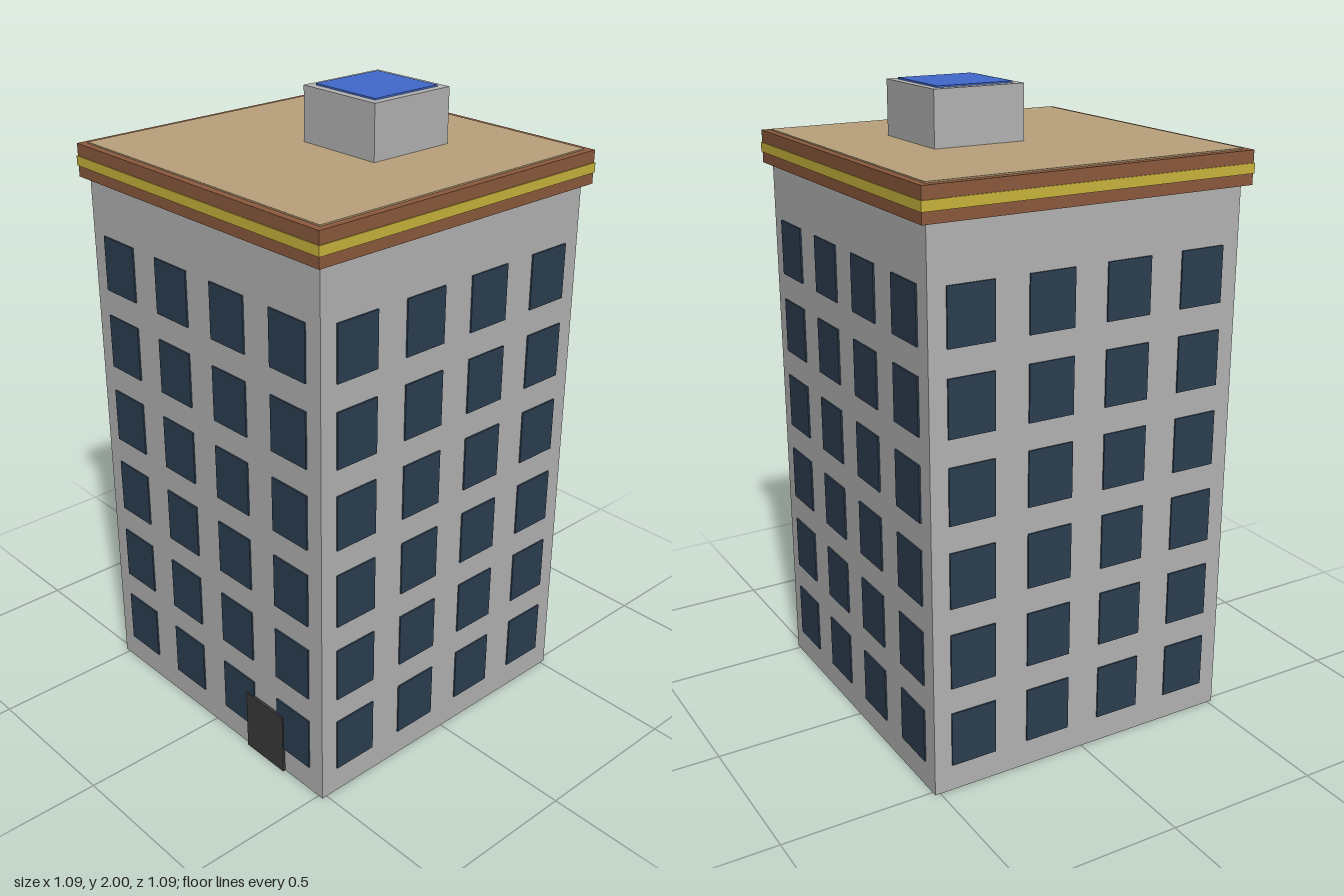
import * as THREE from 'three';

const mat = (name, color) => {
  const m = new THREE.MeshStandardMaterial({ color });
  m.name = name;
  return m;
};

export function createModel() {
  const wall = mat('wallGrey', 0xb3b3b3);
  const glass = mat('windowBlue', 0x2c3e50);
  const brown = mat('corniceBrown', 0x8b5a3c);
  const yellow = mat('stripeYellow', 0xc8b43c);
  const tan = mat('roofTan', 0xb8a07a);
  const blue = mat('skylightBlue', 0x4169cd);
  const dark = mat('doorGrey', 0x3a3a3a);

  const model = new THREE.Group();
  model.name = 'apartmentTower';

  // Box given by its size, its centre in x and z, and its bottom height
  const box = (parent, name, material, w, h, d, x, bottom, z) => {
    const mesh = new THREE.Mesh(new THREE.BoxGeometry(w, h, d), material);
    mesh.name = name;
    mesh.position.set(x, bottom + h / 2, z);
    parent.add(mesh);
    return mesh;
  };

  // Main block
  const half = 0.517;
  box(model, 'walls', wall, half * 2, 1.73, half * 2, 0, 0, 0);

  // Four facades, each a 4 x 6 grid of thin window plates
  for (let side = 0; side < 4; side++) {
    const facade = new THREE.Group();
    facade.name = 'facadeWindows';
    facade.rotation.y = (side * Math.PI) / 2;
    for (let row = 0; row < 6; row++) {
      for (let col = 0; col < 4; col++) {
        box(facade, 'window', glass, 0.148, 0.174, 0.008,
          (col - 1.5) * 0.2575, 0.086 + row * 0.2575, half + 0.001);
      }
    }
    model.add(facade);
  }

  // Entrance on the front
  box(model, 'door', dark, 0.173, 0.206, 0.009, 0.257, 0, half + 0.0045);

  // Cornice with stripe, and the roof surface
  box(model, 'cornice', brown, 1.08, 0.102, 1.08, 0, 1.72, 0);
  box(model, 'corniceStripe', yellow, 1.086, 0.03, 1.086, 0, 1.754, 0);
  box(model, 'roofSurface', tan, 1.034, 0.008, 1.034, 0, 1.818, 0);

  // Roof housing with skylight
  box(model, 'roofHousing', wall, 0.3, 0.18, 0.3, 0.063, 1.815, -0.11);
  box(model, 'skylight', blue, 0.25, 0.009, 0.25, 0.063, 1.991, -0.11);

  return model;
}
